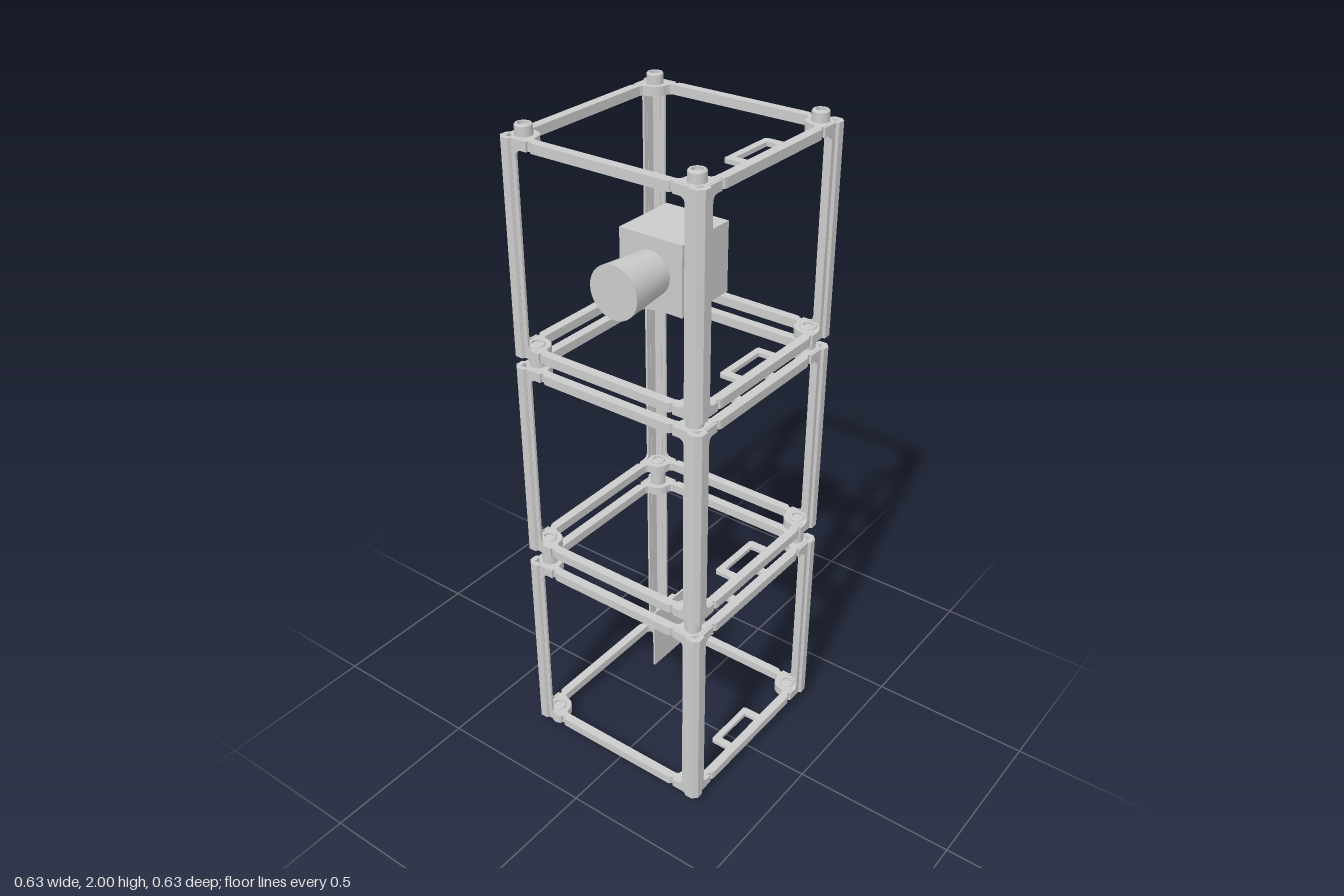
import * as THREE from 'three';

const material = new THREE.MeshStandardMaterial({ color: 0xcccccc, side: THREE.DoubleSide });
const flatMaterial = new THREE.MeshStandardMaterial({ color: 0xcccccc, flatShading: true, side: THREE.DoubleSide });

function add(parent, name, geometry, x = 0, y = 0, z = 0, mat = flatMaterial) {
  const mesh = new THREE.Mesh(geometry, mat);
  mesh.name = name;
  mesh.position.set(x, y, z);
  parent.add(mesh);
  return mesh;
}

const box = (w, h, d) => new THREE.BoxGeometry(w, h, d);
const toShape = (pts) => new THREE.Shape(pts.map(([x, y]) => new THREE.Vector2(x, y)));
const extrude = (shape, depth) => new THREE.ExtrudeGeometry(shape, { depth, bevelEnabled: false, curveSegments: 6 });

// Extrudes a plan outline upwards from y = 0
const extrudeUp = (shape, height) => extrude(shape, height).rotateX(-Math.PI / 2);

// Repeats one corner's points around all four corners
function fourCorners(pts) {
  const out = [];
  let quarter = pts;
  for (let i = 0; i < 4; i++) {
    out.push(...quarter);
    quarter = quarter.map(([x, y]) => [-y, x]);
  }
  return out;
}

function roundedRect(path, x0, y0, x1, y1, r) {
  path.moveTo(x0 + r, y0);
  path.lineTo(x1 - r, y0);
  path.quadraticCurveTo(x1, y0, x1, y0 + r);
  path.lineTo(x1, y1 - r);
  path.quadraticCurveTo(x1, y1, x1 - r, y1);
  path.lineTo(x0 + r, y1);
  path.quadraticCurveTo(x0, y1, x0, y1 - r);
  path.lineTo(x0, y0 + r);
  path.quadraticCurveTo(x0, y0, x0 + r, y0);
  return path;
}

const PIN = 0.267;     // pin centre from the axis
const RAIL = 0.027;    // frame thickness
const HEIGHT = 0.615;  // height of one module

// Square ring with notched outer corners and rounded inner lugs
function frameGeometry() {
  const outer = [[0.308, 0.205], [0.306, 0.213], [0.3, 0.217], [0.3, 0.28],
    [0.28, 0.3], [0.217, 0.3], [0.213, 0.306], [0.205, 0.308]];
  const inner = [[0.28, 0.215], [0.276, 0.224]];
  for (let i = 0; i <= 8; i++) {
    const a = Math.PI * (1.5 - i / 16);
    inner.push([PIN + 0.04 * Math.cos(a), PIN + 0.04 * Math.sin(a)]);
  }
  inner.push([0.224, 0.276], [0.215, 0.28]);
  const shape = toShape(fourCorners(outer));
  shape.holes.push(toShape(fourCorners(inner)));
  return extrudeUp(shape, RAIL);
}

// Flat loop on the inside of the left rail
function handleGeometry() {
  const shape = roundedRect(new THREE.Shape(), 0.216, -0.092, 0.285, 0.092, 0.01);
  shape.holes.push(roundedRect(new THREE.Path(), 0.236, -0.067, 0.279, 0.067, 0.004));
  return extrudeUp(shape, 0.012);
}

// Chamfered angle profile of a corner post
function angleGeometry() {
  return extrudeUp(toShape([[0.275, 0.3], [0.275, 0.309], [0.279, 0.316], [0.302, 0.316], [0.316, 0.302],
    [0.316, 0.279], [0.309, 0.275], [0.3, 0.275], [0.3, 0.3]]), HEIGHT);
}

// Thin flange of a post, widening at both ends behind the rails
function flangeGeometry() {
  const s = new THREE.Shape();
  s.moveTo(0.304, 0);
  s.lineTo(0.304, HEIGHT);
  s.lineTo(0.225, HEIGHT);
  s.lineTo(0.225, HEIGHT - RAIL);
  s.lineTo(0.242, HEIGHT - RAIL);
  s.quadraticCurveTo(0.261, HEIGHT - RAIL, 0.261, HEIGHT - RAIL - 0.019);
  s.lineTo(0.261, RAIL + 0.019);
  s.quadraticCurveTo(0.261, RAIL, 0.242, RAIL);
  s.lineTo(0.225, RAIL);
  s.lineTo(0.225, 0);
  return extrude(s, 0.007);
}

// Recessed connecting pin from y0 to y1
function pinGeometry(y0, y1) {
  const pts = [[0, y0 + 0.008], [0.015, y0 + 0.008], [0.015, y0], [0.021, y0], [0.024, y0 + 0.004],
    [0.024, y1 - 0.004], [0.021, y1], [0.015, y1], [0.015, y1 - 0.008], [0, y1 - 0.008]];
  return new THREE.LatheGeometry(pts.map(([x, y]) => new THREE.Vector2(x, y)), 24);
}

function createModule() {
  const module = new THREE.Group();
  for (const y of [0, HEIGHT - RAIL]) {
    add(module, 'frame', frameGeometry(), 0, y);
    add(module, 'handle', handleGeometry(), 0, y + 0.008);
  }
  for (let i = 0; i < 4; i++) {
    const post = new THREE.Group();
    post.name = 'cornerPost';
    post.rotation.y = (i * Math.PI) / 2;
    add(post, 'postAngle', angleGeometry());
    add(post, 'postFlange', flangeGeometry(), 0, 0, -0.308);
    const side = add(post, 'postFlange', flangeGeometry(), 0.308, 0, 0);
    side.rotation.y = Math.PI / 2;
    side.position.x = 0.301;
    module.add(post);
  }
  return module;
}

export function createModel() {
  const model = new THREE.Group();
  model.name = 'stackedFrameTower';

  // Three identical open modules
  ['lowerModule', 'middleModule', 'upperModule'].forEach((name, i) => {
    const module = createModule();
    module.name = name;
    module.position.y = [0.035, 0.705, 1.355][i];
    model.add(module);
  });

  // Feet, joints and top studs at each corner
  for (const [y0, y1] of [[0, 0.068], [0.618, 0.738], [1.288, 1.388], [1.938, 2]]) {
    for (const x of [-PIN, PIN]) {
      for (const z of [-PIN, PIN]) add(model, 'connectingPin', pinGeometry(y0, y1), x, 0, z);
    }
  }

  // Camera in the upper module, lens facing forward
  const camera = new THREE.Group();
  camera.name = 'camera';
  camera.position.y = 1.608;
  add(camera, 'cameraBody', box(0.206, 0.206, 0.206));
  const lens = new THREE.CylinderGeometry(0.077, 0.063, 0.157, 32).rotateX(Math.PI / 2);
  add(camera, 'lens', lens, 0, 0, 0.1785, material);
  model.add(camera);

  // Upright circuit board in the lower module, parts on its right face
  const board = new THREE.Group();
  board.name = 'controlBoard';
  add(board, 'boardPlate', box(0.006, 0.206, 0.21), 0, 0.363, 0);
  add(board, 'boardHousing', box(0.024, 0.15, 0.11), -0.015, 0.36, 0);
  const rim = roundedRect(new THREE.Shape(), -0.045, -0.055, 0.045, 0.055, 0.012);
  rim.holes.push(roundedRect(new THREE.Path(), -0.025, -0.035, 0.025, 0.035, 0.008));
  add(board, 'housingRim', extrude(rim, 0.012).rotateY(-Math.PI / 2), -0.025, 0.382, 0);
  model.add(board);

  return model;
}
